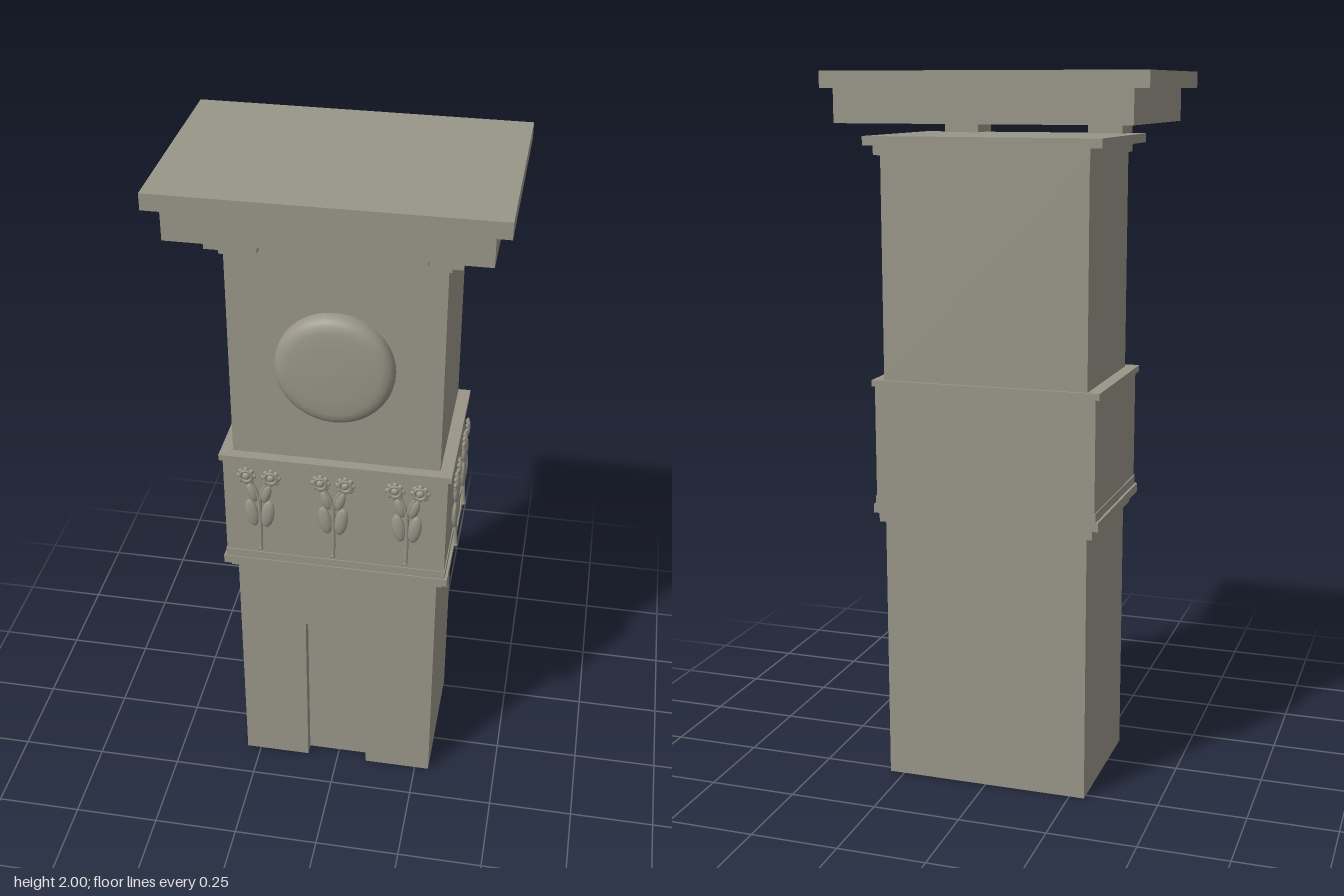
import * as THREE from 'three';

const stone = new THREE.MeshStandardMaterial({ color: 0x999688 });
stone.name = 'stone';

function add(parent, name, geometry, x = 0, y = 0, z = 0) {
  const mesh = new THREE.Mesh(geometry, stone);
  mesh.name = name;
  mesh.position.set(x, y, z);
  parent.add(mesh);
  return mesh;
}

// Box given by its extents on each axis
function block(parent, name, x0, x1, y0, y1, z0, z1) {
  return add(parent, name, new THREE.BoxGeometry(x1 - x0, y1 - y0, z1 - z0),
    (x0 + x1) / 2, (y0 + y1) / 2, (z0 + z1) / 2);
}

function tube(points, radius) {
  const curve = new THREE.CatmullRomCurve3(points.map(p => new THREE.Vector3(...p)));
  return new THREE.TubeGeometry(curve, 10, radius, 6, false);
}

// Twin-headed flower relief, facing +z, with its origin at mid height
function createFlower() {
  const flower = new THREE.Group();
  flower.name = 'flowerRelief';
  add(flower, 'stem', tube([[0, -0.14, 0.004], [0.001, -0.06, 0], [0, 0.04, 0]], 0.006));
  add(flower, 'stemTip', new THREE.SphereGeometry(0.007, 8, 6), 0, -0.138, 0.004);
  for (const s of [-1, 1]) {
    add(flower, 'branch', tube([[0, 0, 0], [s * 0.008, 0.06, 0], [s * 0.034, 0.105, 0]], 0.005));

    // Leaves: a broad lower pair and a slim upper pair
    const lower = add(flower, 'lowerLeaf', new THREE.SphereGeometry(1, 10, 8), s * 0.023, -0.017, 0);
    lower.scale.set(0.019, 0.047, 0.009);
    lower.rotation.z = -s * 0.15;
    const upper = add(flower, 'upperLeaf', new THREE.SphereGeometry(1, 10, 8), s * 0.02, 0.053, 0);
    upper.scale.set(0.014, 0.032, 0.008);
    upper.rotation.z = -s * 0.25;

    // Blossom with a ring of petals
    add(flower, 'blossomRing', new THREE.TorusGeometry(0.017, 0.005, 6, 16), s * 0.035, 0.109, 0.003);
    const centre = add(flower, 'blossomCentre', new THREE.SphereGeometry(0.011, 10, 8), s * 0.035, 0.109, 0.002);
    centre.scale.z = 0.7;
    for (let i = 0; i < 8; i++) {
      const a = i * Math.PI / 4;
      const petal = add(flower, 'petal', new THREE.SphereGeometry(0.008, 6, 5),
        s * 0.035 + Math.cos(a) * 0.021, 0.109 + Math.sin(a) * 0.021, 0);
      petal.scale.z = 0.7;
    }
  }
  return flower;
}

export function createModel() {
  const tower = new THREE.Group();
  tower.name = 'clockTower';

  // Lower shaft: solid rear and a front layer cut out for the doorway
  const doorDepth = 0.035;
  block(tower, 'lowerShaft', -0.293, 0.293, 0, 0.76, -0.272, 0.14 - doorDepth);
  const front = new THREE.Shape([
    [-0.293, 0], [-0.095, 0], [-0.095, 0.55], [0.092, 0.55], [0.092, 0],
    [0.293, 0], [0.293, 0.76], [-0.293, 0.76],
  ].map(p => new THREE.Vector2(...p)));
  add(tower, 'doorwayWall',
    new THREE.ExtrudeGeometry(front, { depth: doorDepth, bevelEnabled: false }), 0, 0, 0.14 - doorDepth);

  // Stepped mouldings, frieze band and upper shaft: half width, y range, z range
  [
    ['lowerMoulding', 0.31, 0.76, 0.785, -0.278, 0.152],
    ['lowerLedge', 0.326, 0.785, 0.81, -0.28, 0.176],
    ['friezeBase', 0.319, 0.81, 0.835, -0.28, 0.173],
    ['frieze', 0.316, 0.835, 1.147, -0.28, 0.17],
    ['friezeLedge', 0.326, 1.147, 1.165, -0.28, 0.176],
    ['upperShaft', 0.291, 1.165, 1.78, -0.272, 0.145],
    ['corniceMoulding', 0.3, 1.78, 1.805, -0.3, 0.158],
    ['cornice', 0.331, 1.805, 1.83, -0.3, 0.186],
    ['roofBase', 0.412, 1.863, 1.955, -0.3, 0.27],
    ['roofSlab', 0.452, 1.955, 2, -0.3, 0.3],
  ].forEach(([name, w, y0, y1, z0, z1]) => block(tower, name, -w, w, y0, y1, z0, z1));

  // Brackets under the roof
  block(tower, 'roofBracket', -0.28, -0.18, 1.83, 1.863, 0.115, 0.235);
  block(tower, 'roofBracket', 0.148, 0.248, 1.83, 1.863, 0.115, 0.235);

  // Domed clock disc
  const profile = [
    [0.163, 0], [0.163, 0.014], [0.16, 0.024], [0.153, 0.033], [0.142, 0.04],
    [0.125, 0.045], [0.08, 0.048], [0, 0.05],
  ].map(p => new THREE.Vector2(...p));
  const clock = add(tower, 'clockDisc', new THREE.LatheGeometry(profile, 40), 0, 1.467, 0.145);
  clock.rotation.x = Math.PI / 2;

  // Flowers on the front and on the left side of the frieze
  for (const x of [-0.21, 0, 0.208]) {
    const flower = createFlower();
    flower.position.set(x, 1.006, 0.191);
    tower.add(flower);
  }
  for (const z of [0.08, -0.122]) {
    const flower = createFlower();
    flower.position.set(0.333, 1.006, z);
    flower.rotation.y = Math.PI / 2;
    tower.add(flower);
  }
  return tower;
}
